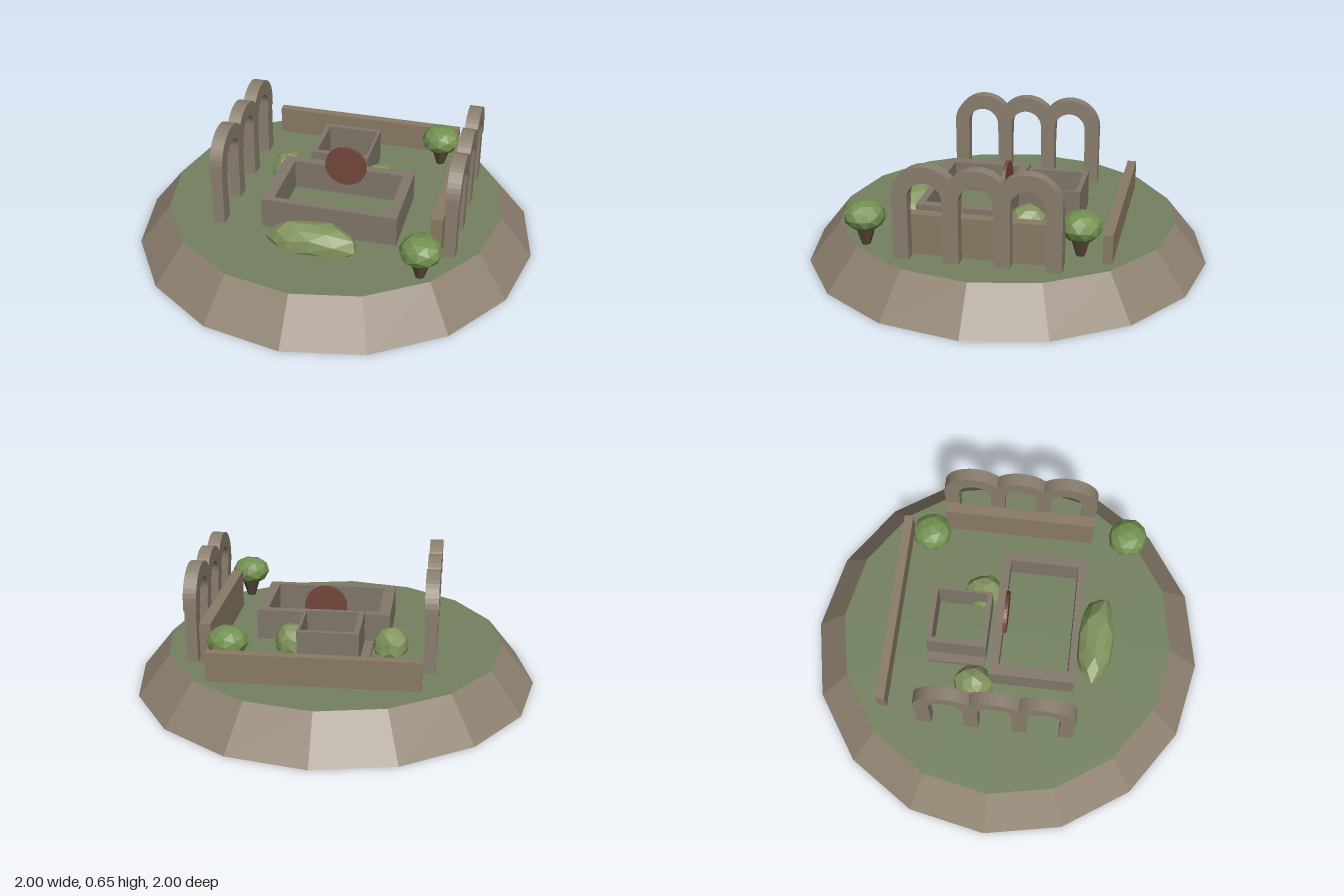
import * as THREE from 'three';

const mat = (color, flatShading = true) => new THREE.MeshStandardMaterial({ color, flatShading });
const earth = mat(0x8f8271), grass = mat(0x74815f), stone = mat(0x82776a), arcadeStone = mat(0x8a7e6e);
const wallStone = mat(0x8a7b66), clay = mat(0x73473b), leaf = mat(0x739150), shrub = mat(0x84955f), bark = mat(0x5a4838);
const GROUND = 0.2;

function add(parent, name, geometry, material, x = 0, y = 0, z = 0) {
  const mesh = new THREE.Mesh(geometry, material);
  mesh.name = name;
  mesh.position.set(x, y, z);
  parent.add(mesh);
  return mesh;
}

// Box given by its limits, standing on the ground
function block(parent, name, x0, x1, z0, z1, top, material) {
  return add(parent, name, new THREE.BoxGeometry(x1 - x0, top - GROUND, z1 - z0), material,
    (x0 + x1) / 2, (top + GROUND) / 2, (z0 + z1) / 2);
}

// Hollow rectangular enclosure, extruded upwards from a plan with a hole
function enclosure(parent, name, [x0, x1, z0, z1], [a0, a1, b0, b1], top) {
  const rect = (path, l, r, n, f) => path.moveTo(l, -f).lineTo(r, -f).lineTo(r, -n).lineTo(l, -n).closePath();
  const plan = new THREE.Shape(), hole = new THREE.Path();
  rect(plan, x0, x1, z0, z1);
  rect(hole, a0, a1, b0, b1);
  plan.holes.push(hole);
  const geo = new THREE.ExtrudeGeometry(plan, { depth: top - GROUND, bevelEnabled: false });
  geo.rotateX(-Math.PI / 2);
  add(parent, name, geo, stone, 0, GROUND, 0);
}

// Row of three arches on four piers, running along z
function arcade(parent, name, x) {
  const g = new THREE.Group();
  g.name = name;
  g.position.x = x;
  const step = 0.235, spring = 0.498, outer = 0.155, inner = 0.08, foot = 0.455;
  for (let i = 0; i < 4; i++) {
    add(g, 'pier', new THREE.BoxGeometry(0.056, 0.26, 0.073), arcadeStone, 0, GROUND + 0.13, (i - 1.5) * step);
  }
  const s = new THREE.Shape();
  s.moveTo(outer, foot);
  s.lineTo(outer, spring);
  s.absarc(0, spring, outer, 0, Math.PI, false);
  s.lineTo(-outer, foot);
  s.lineTo(-inner, foot);
  s.lineTo(-inner, spring);
  s.absarc(0, spring, inner, Math.PI, 0, true);
  s.lineTo(inner, foot);
  const arch = new THREE.ExtrudeGeometry(s, { depth: 0.064, bevelEnabled: false, curveSegments: 10 });
  arch.translate(0, 0, -0.032).rotateY(Math.PI / 2);
  for (let i = -1; i <= 1; i++) add(g, 'arch', arch, arcadeStone, 0, 0, i * step);
  parent.add(g);
}

// Irregular faceted mound: equal corners move equally, so it stays closed
function mound(rx, ry, rz, rough, phase) {
  const geo = new THREE.IcosahedronGeometry(1, 1), p = geo.attributes.position;
  const v = new THREE.Vector3();
  for (let i = 0; i < p.count; i++) {
    v.fromBufferAttribute(p, i);
    const k = 1 + rough * Math.sin(v.x * 5 + phase) * Math.cos(v.z * 4 + v.y * 3 + phase);
    p.setXYZ(i, v.x * k * rx, v.y * k * ry, v.z * k * rz);
  }
  geo.computeVertexNormals();
  return geo;
}

function tree(parent, x, z) {
  const g = new THREE.Group();
  g.name = 'tree';
  g.position.set(x, 0, z);
  add(g, 'trunk', new THREE.CylinderGeometry(0.05, 0.022, 0.09, 7), bark, 0, 0.245, 0);
  add(g, 'crown', mound(0.1, 0.073, 0.1, 0.03, 1), leaf, 0, 0.342, 0);
  parent.add(g);
}

export function createModel() {
  const model = new THREE.Group();
  model.name = 'ruinIsland';

  // Sixteen-sided sloping base with a grass top
  add(model, 'base', new THREE.CylinderGeometry(0.84, 1, GROUND, 16), [earth, grass, earth], 0, GROUND / 2, 0);

  // Arcades on both sides
  arcade(model, 'rightArcade', -0.488);
  arcade(model, 'leftArcade', 0.643);

  // Low boundary walls
  block(model, 'backWall', -0.46, 0.53, -0.595, -0.55, 0.342, wallStone);
  block(model, 'sideWall', 0.55, 0.605, -0.383, 0.387, 0.397, wallStone);

  // Two hollow enclosures and the step beside the small one
  enclosure(model, 'largeEnclosure', [-0.278, 0.387, 0.06 * -1, 0.365], [-0.22, 0.337, -0.015, 0.33], 0.352);
  enclosure(model, 'smallEnclosure', [-0.155, 0.14, -0.385, -0.085], [-0.128, 0.128, -0.36, -0.11], 0.38);
  block(model, 'sideStep', -0.2, -0.155, -0.38, -0.09, 0.225, stone);

  // Upright clay disc
  const disc = new THREE.CylinderGeometry(0.105, 0.105, 0.018, 28);
  disc.rotateX(Math.PI / 2);
  add(model, 'disc', disc, clay, 0.047, 0.37, -0.006);

  // Trees and bushes
  tree(model, 0.455, -0.44);
  tree(model, 0.54, 0.565);
  add(model, 'frontBush', mound(0.225, 0.1, 0.095, 0.1, 0.6), shrub, 0.01, 0.22, 0.455);
  add(model, 'bush', mound(0.088, 0.095, 0.103, 0.08, 2), shrub, -0.29, 0.222, -0.135);
  add(model, 'bush', mound(0.085, 0.095, 0.1, 0.08, 4), shrub, 0.2, 0.222, -0.14);
  return model;
}
